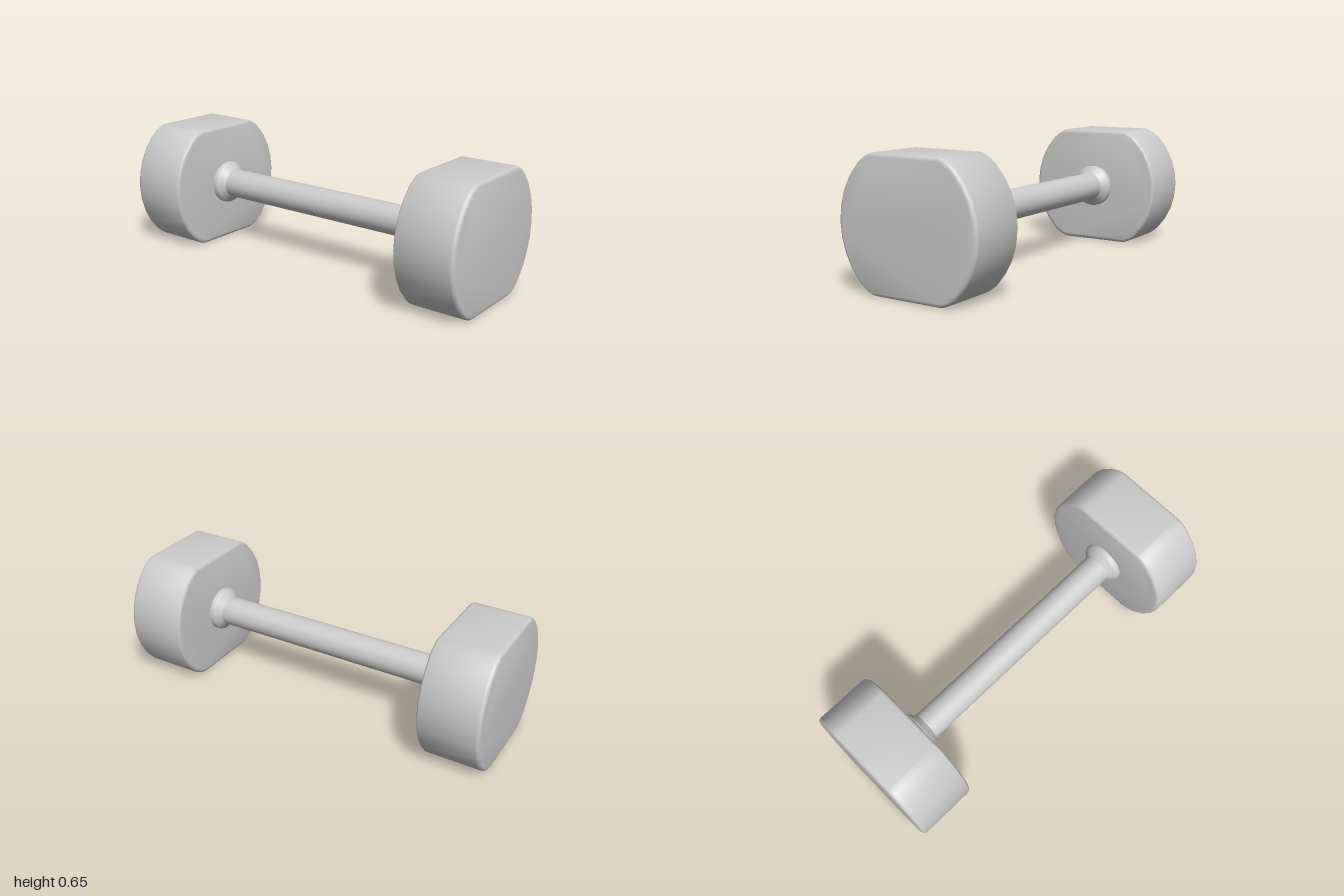
import * as THREE from 'three';
import { mergeVertices, toCreasedNormals } from 'three/addons/utils/BufferGeometryUtils.js';

const material = new THREE.MeshStandardMaterial({ color: 0xcccccc });
const R = 0.387;       // weight radius
const H = 0.323;       // half height between the flats, also the axis height
const INNER = 0.685;   // inner face of a weight
const BEVEL = 0.02;

// Round outline cut flat at top and bottom, with softened corners
function weightOutline() {
  const corner = [[0.243, 0.298], [0.217, 0.313], [0.198, 0.32], [0.18, H]];
  const quarter = [];
  for (let i = 0; i <= 4; i++) {
    const a = (i * Math.PI) / 16;
    quarter.push([R * Math.cos(a), R * Math.sin(a)]);
  }
  quarter.push(...corner);
  const half = [...quarter, ...quarter.map(([z, y]) => [-z, y]).reverse()];
  const lower = half.slice(1, -1).map(([z, y]) => [z, -y]).reverse();
  return new THREE.Shape([...half, ...lower].map(([z, y]) => new THREE.Vector2(z, y)));
}

function weightGeometry() {
  let g = new THREE.ExtrudeGeometry(weightOutline(), {
    depth: 1 - INNER - 2 * BEVEL,
    bevelEnabled: true,
    bevelThickness: BEVEL,
    bevelSize: BEVEL,
    bevelOffset: -BEVEL,
    bevelSegments: 4,
  });
  g.deleteAttribute('uv');
  g.deleteAttribute('normal');
  g = toCreasedNormals(mergeVertices(g), 0.65);
  return g.translate(0, 0, INNER + BEVEL).rotateY(Math.PI / 2);
}

// Lathe about the x axis; profile points are [radius, x]
function turned(profile) {
  const g = new THREE.LatheGeometry(profile.map(([r, x]) => new THREE.Vector2(r, x)), 32);
  return toCreasedNormals(g.rotateZ(-Math.PI / 2), 0.7);
}

export function createModel() {
  const group = new THREE.Group();
  const add = (name, geometry, turn = 0) => {
    const mesh = new THREE.Mesh(geometry, material);
    mesh.name = name;
    mesh.position.y = H;
    mesh.rotation.y = turn;
    group.add(mesh);
  };

  // Grip bar
  add('handle', turned([[0.078, -INNER - 0.01], [0.078, INNER + 0.01]]));

  // Weights and flared collars at both ends
  const weight = weightGeometry();
  const collar = turned([
    [0.076, 0.625], [0.082, 0.63], [0.088, 0.637], [0.106, 0.653],
    [0.112, 0.658], [0.115, 0.665], [0.115, INNER + 0.01],
  ]);
  for (const [side, turn] of [['left', 0], ['right', Math.PI]]) {
    add(side + 'Weight', weight, turn);
    add(side + 'Collar', collar, turn);
  }
  return group;
}
